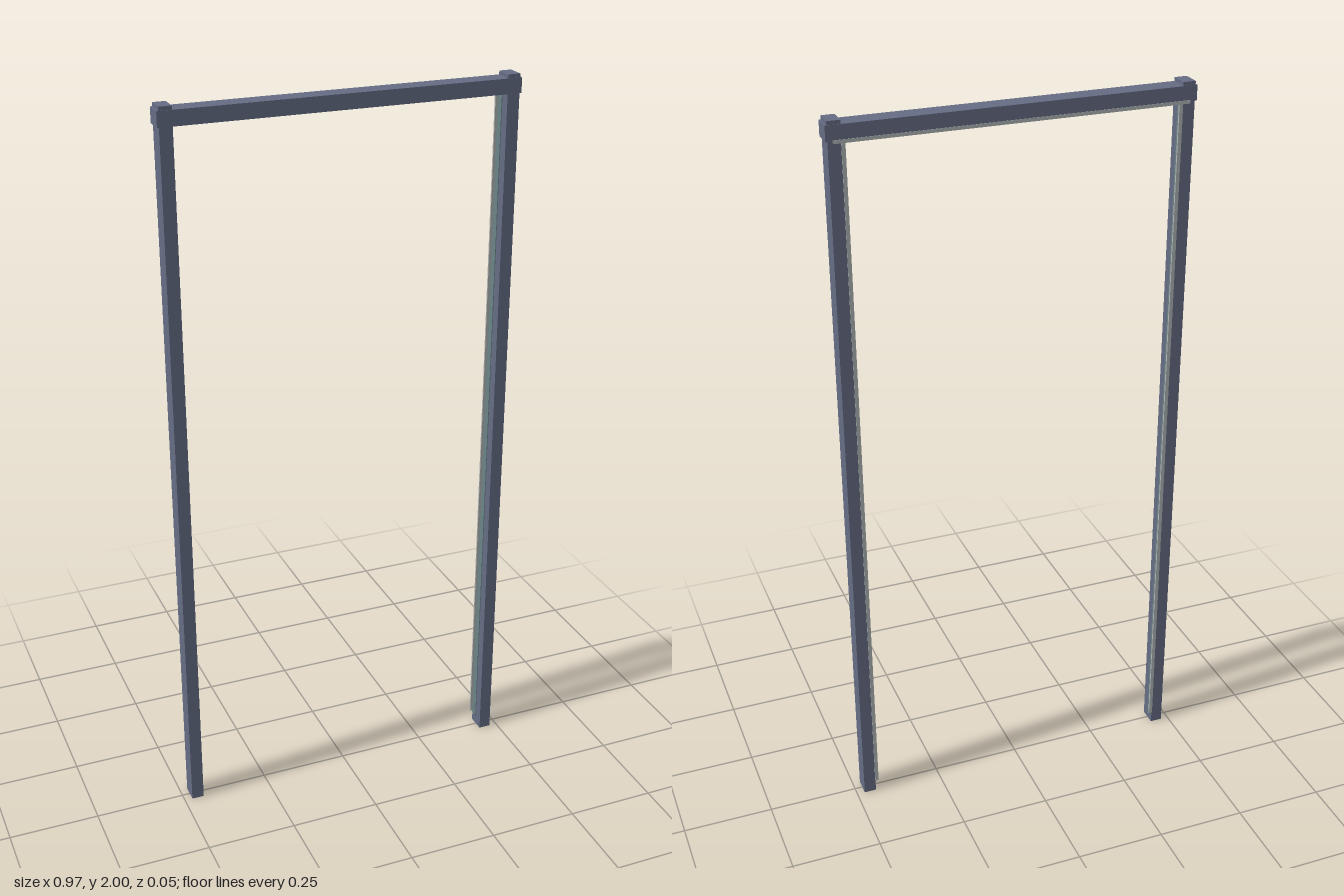
import * as THREE from 'three';

export function createModel() {
  const group = new THREE.Group();
  group.name = 'doorFrame';

  const mat = (name, color) => {
    const m = new THREE.MeshStandardMaterial({ color });
    m.name = name;
    return m;
  };
  const slate = mat('slate frame', 0x666e86);
  const teal = mat('grey teal seal', 0x6c8488);
  const pale = mat('pale trim', 0xb4b8b8);

  // Box given by its lower and upper corners
  const box = (name, material, [x0, y0, z0], [x1, y1, z1]) => {
    const geometry = new THREE.BoxGeometry(x1 - x0, y1 - y0, z1 - z0);
    const mesh = new THREE.Mesh(geometry, material);
    mesh.name = name;
    mesh.position.set((x0 + x1) / 2, (y0 + y1) / 2, (z0 + z1) / 2);
    group.add(mesh);
  };

  // The same box on the left (+x) and the right (-x)
  const pair = (name, material, [x0, y0, z0], [x1, y1, z1]) => {
    box('left' + name, material, [x0, y0, z0], [x1, y1, z1]);
    box('right' + name, material, [-x1, y0, z0], [-x0, y1, z1]);
  };

  // Posts standing slightly above the lintel
  pair('Post', slate, [0.444, 0, -0.0255], [0.478, 2, 0.0255]);

  // Lintel whose ends pass through the posts
  box('lintel', slate, [-0.483, 1.95, -0.0265], [0.483, 1.99, 0.0265]);

  // Seals on the rear half of the inner post faces
  pair('Seal', teal, [0.442, 0.03, -0.025], [0.4445, 1.95, -0.002]);

  // Thin trim along the rear inner edges
  pair('Trim', pale, [0.435, 0.035, -0.0275], [0.445, 1.952, -0.0225]);
  box('topTrim', pale, [-0.465, 1.944, -0.0275], [0.465, 1.953, -0.0225]);

  return group;
}
